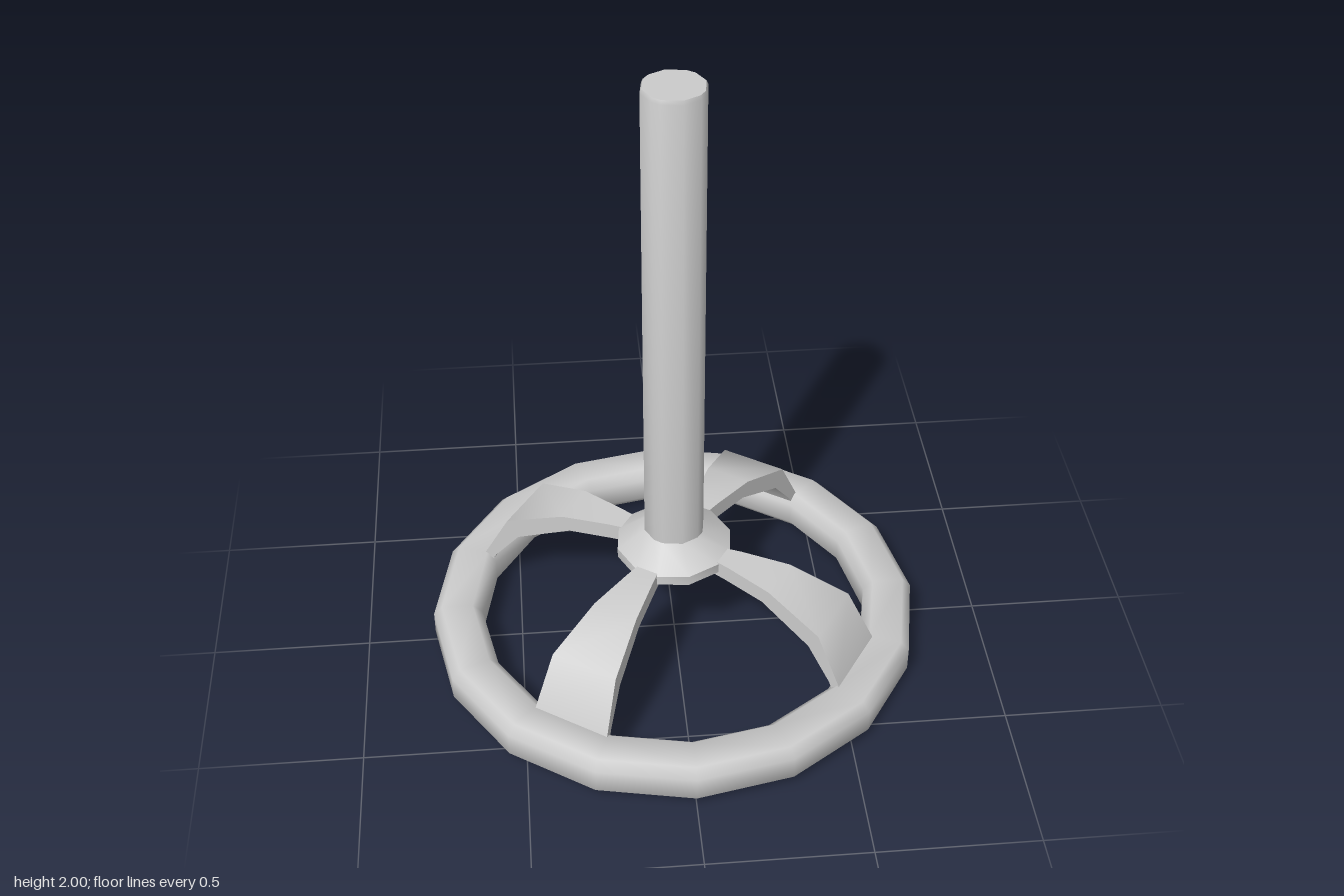
import * as THREE from 'three';
import { toCreasedNormals } from 'three/addons/utils/BufferGeometryUtils.js';

const material = new THREE.MeshStandardMaterial({ color: 0xcccccc });
const rad = THREE.MathUtils.degToRad;
const profile = (pts) => pts.map(([x, y]) => new THREE.Vector2(x, y));

function addMesh(group, name, geometry) {
  const mesh = new THREE.Mesh(toCreasedNormals(geometry, 0.9), material);
  mesh.name = name;
  group.add(mesh);
  return mesh;
}

// Twelve-sided hub and shaft: a lathe whose columns are moved to uneven angles,
// so a narrow facet of the hub faces each spoke.
function hubAndShaftGeometry() {
  const pts = profile([
    [0, 0.32], [0.15, 0.32], [0.185, 0.342], [0.185, 0.375],
    [0.097, 0.437], [0.097, 1.988], [0.092, 2], [0, 2],
  ]);
  const geo = new THREE.LatheGeometry(pts, 12);
  const pos = geo.attributes.position;
  for (let i = 0; i <= 12; i++) {
    for (let j = 0; j < pts.length; j++) {
      const onShaft = pts[j].y > 0.4;
      const offsets = onShaft ? [-45, -27, 11] : [-45, -21.5, 9.5];
      const a = rad(offsets[i % 3] + 90 * Math.floor(i / 3));
      pos.setXYZ(i * pts.length + j, pts[j].x * Math.sin(a), pts[j].y, pts[j].x * Math.cos(a));
    }
  }
  return geo;
}

// Arched spoke widening outwards: a box bent through stations of
// [top radius, top height, bottom radius, bottom height].
function spokeGeometry() {
  const stations = [
    [0.16, 0.38, 0.14, 0.325], [0.22, 0.38, 0.2, 0.325], [0.374, 0.37, 0.35, 0.317],
    [0.565, 0.3, 0.53, 0.24], [0.65, 0.14, 0.612, 0.14], [0.675, 0.08, 0.645, 0.08],
  ];
  const n = stations.length - 1;
  const geo = new THREE.BoxGeometry(2, 2, 1, 1, 1, n);
  const pos = geo.attributes.position;
  for (let i = 0; i < pos.count; i++) {
    const s = stations[Math.round((pos.getZ(i) + 0.5) * n)];
    const [r, y] = pos.getY(i) > 0 ? [s[0], s[1]] : [s[2], s[3]];
    pos.setXYZ(i, Math.sign(pos.getX(i)) * (0.003 + 0.19 * r), y, r);
  }
  return geo;
}

export function createModel() {
  const group = new THREE.Group();
  group.name = 'handwheel';

  // Sixteen-sided rim with chamfered edges
  addMesh(group, 'rim', new THREE.LatheGeometry(profile([
    [0.75, 0], [0.782, 0.035], [0.782, 0.112], [0.755, 0.14], [0.655, 0.14],
    [0.625, 0.11], [0.625, 0.035], [0.655, 0], [0.75, 0],
  ]), 16));

  addMesh(group, 'hubAndShaft', hubAndShaftGeometry());

  // Four spokes, each meeting one rim segment
  for (let k = 0; k < 4; k++) {
    addMesh(group, 'spoke' + (k + 1), spokeGeometry()).rotation.y = rad(56.25 + 90 * k);
  }
  return group;
}
